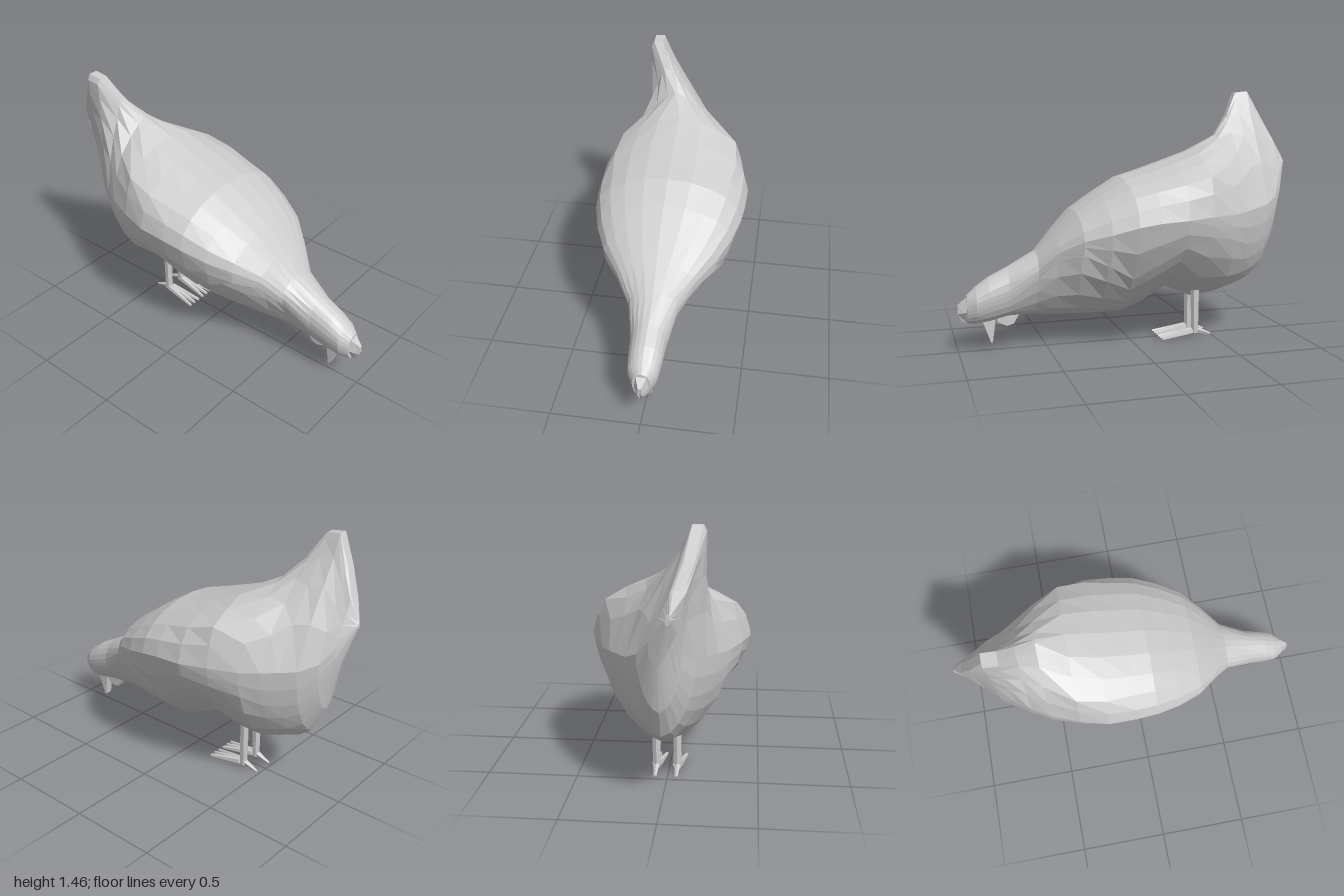
import * as THREE from 'three';

const clamp = (v) => Math.min(1, Math.max(0, v));

// Body cross-sections from beak to rump:
// z, bottom y, top y, half width, height of widest point, wing edge height, wing overhang
const SECTIONS = [
  [0.95, 0.165, 0.325, 0.05, 0.26, 0.22, 0],
  [0.9, 0.16, 0.37, 0.083, 0.29, 0.24, 0],
  [0.83, 0.165, 0.42, 0.092, 0.32, 0.27, 0],
  [0.72, 0.19, 0.475, 0.1, 0.36, 0.3, 0],
  [0.56, 0.195, 0.56, 0.14, 0.47, 0.42, 0],
  [0.46, 0.185, 0.665, 0.22, 0.58, 0.55, 0.03],
  [0.34, 0.18, 0.79, 0.32, 0.65, 0.59, 0.045],
  [0.2, 0.175, 0.885, 0.385, 0.69, 0.52, 0.03],
  [0.06, 0.175, 0.97, 0.425, 0.73, 0.43, 0.015],
  [-0.06, 0.22, 1.005, 0.438, 0.75, 0.5, 0.02],
  [-0.22, 0.31, 1.06, 0.44, 0.76, 0.6, 0.025],
  [-0.38, 0.24, 1.12, 0.4, 0.77, 0.66, 0.02],
  [-0.54, 0.26, 1.2, 0.335, 0.77, 0.62, 0],
  [-0.64, 0.29, 1.31, 0.28, 0.78, 0.58, 0],
  [-0.72, 0.32, 1.45, 0.228, 0.79, 0.58, 0],
  [-0.8, 0.38, 1.46, 0.178, 0.8, 0.6, 0],
  [-0.88, 0.54, 1.3, 0.11, 0.84, 0.7, 0],
  [-0.94, 0.8, 1.17, 0.06, 0.97, 0.88, 0],
  [-1.0, 1.02, 1.06, 0.015, 1.04, 1.03, 0],
];

// One closed ring: lower half, wing edge, upper half, then mirrored
function ring([z, yb, yt, w, yw, edge, step]) {
  const tail = clamp((-0.45 - z) / 0.25);
  const [p, e] = z > 0.7 ? [2, 0.5] : z < -0.5 ? [1.85, 0.58] : [1.6, 0.75];
  const lower = (y) => w * Math.pow(1 - Math.pow(clamp((yw - y) / (yw - yb)), p), e);
  const half = [];
  for (const f of [0, 0.12, 0.35, 0.68, 1]) {
    const y = yb + (edge - yb) * f;
    half.push([Math.max(0, lower(y) - step * f), y]);
  }
  half.push([lower(edge), edge - step * 0.4]);
  half.push([lower((edge + yw) / 2), (edge + yw) / 2]);
  const tip = z > -0.97 ? 0.038 * tail : 0;
  // Folded wing top stands slightly proud of the back
  const fold = 0.032 * clamp(1 - Math.abs(z + 0.35) / 0.28);
  for (const r of [0, 0.35, 0.62, 0.82, 0.95, 1]) {
    const k = Math.pow(1 - Math.pow(r, 2 - 0.6 * tail), 0.5 + 0.9 * tail);
    const x = tip * (r === 1 ? 0.7 : 1) + (w - tip) * k;
    half.push([r === 0.62 ? x + fold : x, yw + (yt - yw) * r]);
  }
  half.push([0, yt]);
  const mirrored = half.slice(1, -1).reverse().map(([x, y]) => [-x, y]);
  // The raised tail leans to one side
  return [...half, ...mirrored].map(([x, y]) => [x - 0.18 * tail * clamp((y - 0.87) / 0.53), y, z]);
}

function loft(rings) {
  const n = rings[0].length;
  const pos = rings.flat(2);
  const index = [];
  for (let i = 0; i < rings.length - 1; i++) {
    for (let j = 0; j < n; j++) {
      const a = i * n + j, b = i * n + ((j + 1) % n);
      index.push(a, a + n, b, b, a + n, b + n);
    }
  }
  // End caps
  for (const i of [0, rings.length - 1]) {
    const c = pos.length / 3;
    for (let k = 0; k < 3; k++) pos.push(rings[i].reduce((s, q) => s + q[k], 0) / n);
    for (let j = 0; j < n; j++) {
      const a = i * n + j, b = i * n + ((j + 1) % n);
      if (i === 0) index.push(c, a, b);
      else index.push(c, b, a);
    }
  }
  const g = new THREE.BufferGeometry();
  g.setAttribute('position', new THREE.Float32BufferAttribute(pos, 3));
  g.setIndex(index);
  const flat = g.toNonIndexed();
  flat.computeVertexNormals();
  return flat;
}

export function createModel() {
  const group = new THREE.Group();
  const mat = new THREE.MeshStandardMaterial({ color: 0xcccccc, flatShading: true });
  const add = (name, geometry, parent = group) => {
    const mesh = new THREE.Mesh(geometry, mat);
    mesh.name = name;
    parent.add(mesh);
    return mesh;
  };
  // Tapered rod between two points
  const rod = (name, from, to, r0, r1, sides, parent) => {
    const a = new THREE.Vector3(...from), b = new THREE.Vector3(...to);
    const dir = b.clone().sub(a);
    const mesh = add(name, new THREE.CylinderGeometry(r1, r0, dir.length(), sides), parent);
    mesh.position.copy(a).add(b).multiplyScalar(0.5);
    mesh.quaternion.setFromUnitVectors(new THREE.Vector3(0, 1, 0), dir.normalize());
  };

  add('body', loft(SECTIONS.map(ring)));

  // Short hooked beak
  const beakRing = (z, yb, yt, w) => [[0, yb, z - 0.02], [w, (yb + yt) / 2, z], [w * 0.7, yt, z],
    [-w * 0.7, yt, z], [-w, (yb + yt) / 2, z]];
  add('beak', loft([beakRing(1.0, 0.175, 0.27, 0.012), beakRing(0.965, 0.165, 0.295, 0.032),
    beakRing(0.92, 0.16, 0.33, 0.055)]));

  // Wattles hanging under the head, drawn in side profile as [z, y]
  const wattle = (name, points, width) => {
    const shape = new THREE.Shape(points.map(([z, y]) => new THREE.Vector2(-z, y)));
    const g = new THREE.ExtrudeGeometry(shape, { depth: width, bevelEnabled: false });
    g.translate(0, 0, -width / 2).rotateY(Math.PI / 2);
    add(name, g).position.x = 0.008;
  };
  wattle('frontWattle', [[0.87, 0.19], [0.82, 0.05], [0.81, 0.05], [0.79, 0.2]], 0.045);
  wattle('rearWattle', [[0.79, 0.21], [0.78, 0.165], [0.73, 0.14], [0.69, 0.15], [0.655, 0.21]], 0.04);

  // Legs with three front toes and one rear toe
  for (const [side, x] of [['left', 0.067], ['right', -0.05]]) {
    const leg = new THREE.Group();
    leg.name = side + 'Leg';
    group.add(leg);
    rod('shank', [x, 0.025, -0.39], [x, 0.32, -0.39], 0.023, 0.027, 6, leg);
    for (const spread of [-0.038, 0, 0.038]) {
      rod('frontToe', [x + spread * 0.25, 0.038, -0.37], [x + spread, 0.01, -0.172], 0.02, 0.009, 5, leg);
    }
    rod('rearToe', [x, 0.045, -0.39], [x, 0.011, -0.487], 0.02, 0.008, 5, leg);
  }
  return group;
}
